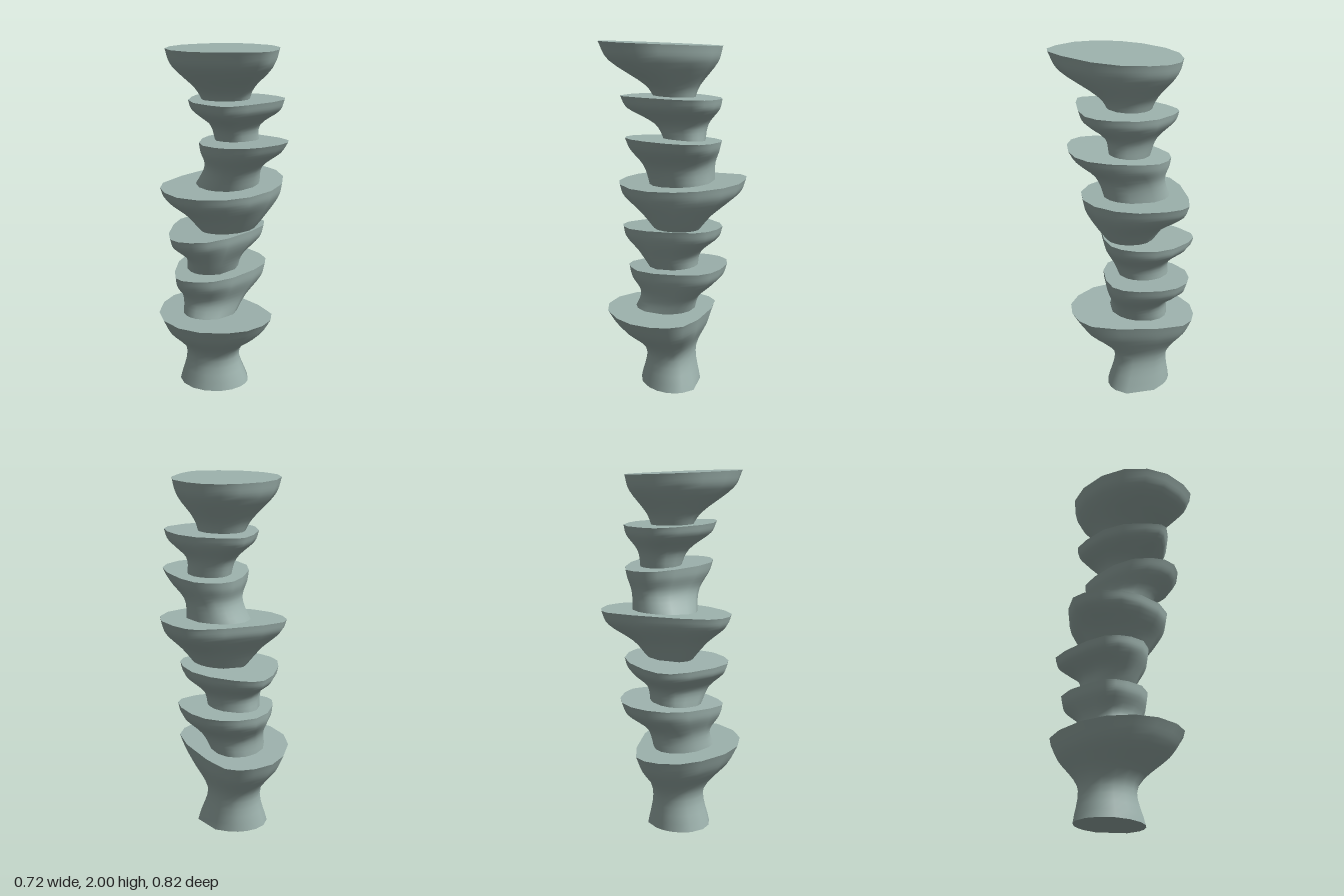
import * as THREE from 'three';

// Each stone, bottom to top:
// x, z, diff (x - z), sum (x + z): extents of the rim in eight directions
// plane: rim height and its slopes along x and z
// foot, waist: extents [xMin, xMax, zMin, zMax] of the two lower rings
// bulge: how far the shoulder has opened from waist (0) to rim (1)
const STONES = [
  { x: [-.36, .29], z: [-.32, .36], diff: [-.52, .28], sum: [-.52, .49], plane: [.463, .02, .055],
    foot: [-.255, .155, -.19, .155], waist: [-.215, .1, -.18, .125], waistY: .2, bulge: .73 },
  { x: [-.27, .24], z: [-.34, .2], diff: [-.39, .41], sum: [-.45, .22], plane: [.722, .06, -.025],
    foot: [-.23, .07, -.17, .2], waist: [-.23, .13, -.185, .15], waistY: .55, bulge: .84 },
  { x: [-.3, .23], z: [-.3, .235], diff: [-.43, .38], sum: [-.5, .23], plane: [.96, .08, .02],
    foot: [-.21, .08, -.18, .09], waist: [-.21, .11, -.19, .16], waistY: .8, bulge: .85 },
  { x: [-.34, .33], z: [-.415, .27], diff: [-.45, .555], sum: [-.41, .39], plane: [1.222, .03, -.035],
    foot: [-.11, .15, -.12, .08], waist: [-.21, .24, -.22, .17], waistY: 1.05, bulge: .84 },
  { x: [-.12, .36], z: [-.26, .3], diff: [-.27, .4], sum: [-.28, .49], plane: [1.472, .03, .08],
    foot: [-.17, .2, -.24, .12], waist: [-.1, .22, -.235, .18], waistY: 1.33, bulge: .76 },
  { x: [-.18, .335], z: [-.25, .31], diff: [-.3, .41], sum: [-.35, .41], plane: [1.7, .02, .05],
    foot: [-.04, .2, -.15, .06], waist: [-.07, .2, -.18, .11], waistY: 1.55, bulge: .84 },
  { x: [-.285, .305], z: [-.285, .41], diff: [-.5, .38], sum: [-.38, .61], plane: [1.976, .01, .05],
    foot: [-.1, .14, -.11, .09], waist: [-.14, .165, -.145, .14], waistY: 1.75, bulge: .83 },
];

const STEPS = 14;
const SINK = 0.03; // how deep each foot sits in the stone below

// Octagon from the eight extents, with every corner cut off
function rimOutline({ x: [x0, x1], z: [z0, z1], diff: [d0, d1], sum: [s0, s1] }) {
  const corners = [
    [x1, s1 - x1], [s1 - z1, z1], [d0 + z1, z1], [x0, x0 - d0],
    [x0, s0 - x0], [s0 - z0, z0], [d1 + z0, z0], [x1, x1 - d1],
  ].map(([x, z]) => new THREE.Vector2(x, z));
  return corners.flatMap((p, i) => {
    const q = corners[(i + 1) % corners.length];
    return [p.clone().lerp(q, .25), p.clone().lerp(q, .75)];
  });
}

// One curve per rim corner, running from foot to rim
function stoneColumns(spec, footY) {
  const { x: [x0, x1], z: [z0, z1], plane: [height, slopeX, slopeZ] } = spec;
  return rimOutline(spec).map(p => {
    const u = (2 * p.x - x0 - x1) / (x1 - x0), w = (2 * p.y - z0 - z1) / (z1 - z0);
    // rings start round and take on the rim's outline higher up
    const ringPoint = ([a, b, c, d], y, likeRim) => {
      const s = THREE.MathUtils.lerp(1 / Math.hypot(u, w), 1, likeRim);
      return new THREE.Vector3((a + b + u * s * (b - a)) / 2, y, (c + d + w * s * (d - c)) / 2);
    };
    const foot = ringPoint(spec.foot, footY, 0);
    const waist = ringPoint(spec.waist, spec.waistY, .3);
    const rim = new THREE.Vector3(p.x, height + slopeX * p.x + slopeZ * p.y, p.y);
    // the shoulder swells out before the wall steepens towards the rim
    const shoulder = waist.clone().lerp(rim, spec.bulge);
    shoulder.y = THREE.MathUtils.lerp(waist.y, rim.y, .64);
    return new THREE.CatmullRomCurve3([foot, waist, shoulder, rim]).getPoints(STEPS);
  });
}

function geometryFrom(points, index) {
  const g = new THREE.BufferGeometry().setFromPoints(points);
  g.setIndex(index);
  g.computeVertexNormals();
  return g;
}

// Smooth flaring wall
function wallGeometry(columns) {
  const n = columns.length, row = STEPS + 1, index = [];
  for (let i = 0; i < n; i++) {
    for (let j = 0; j < STEPS; j++) {
      const a = i * row + j, b = ((i + 1) % n) * row + j;
      index.push(a, a + 1, b, b, a + 1, b + 1);
    }
  }
  return geometryFrom(columns.flat(), index);
}

// Flat face closing a ring
function capGeometry(ring, up) {
  const n = ring.length, index = [];
  const centre = ring.reduce((s, p) => s.add(p), new THREE.Vector3()).divideScalar(n);
  for (let i = 0; i < n; i++) {
    const next = (i + 1) % n;
    index.push(n, up ? next : i, up ? i : next);
  }
  return geometryFrom([...ring, centre], index);
}

export function createModel() {
  const model = new THREE.Group();
  model.name = 'stackedColumn';
  const material = new THREE.MeshStandardMaterial({ color: 0x9db2ad });

  STONES.forEach((spec, i) => {
    const footY = i ? STONES[i - 1].plane[0] - SINK : 0;
    const columns = stoneColumns(spec, footY);
    const stone = new THREE.Group();
    stone.name = `stone${i + 1}`;
    const add = (name, geometry) => {
      const mesh = new THREE.Mesh(geometry, material);
      mesh.name = name;
      stone.add(mesh);
    };
    add('flaredWall', wallGeometry(columns));
    add('topFace', capGeometry(columns.map(c => c[STEPS]), true));
    add('footFace', capGeometry(columns.map(c => c[0]), false));
    model.add(stone);
  });
  return model;
}
